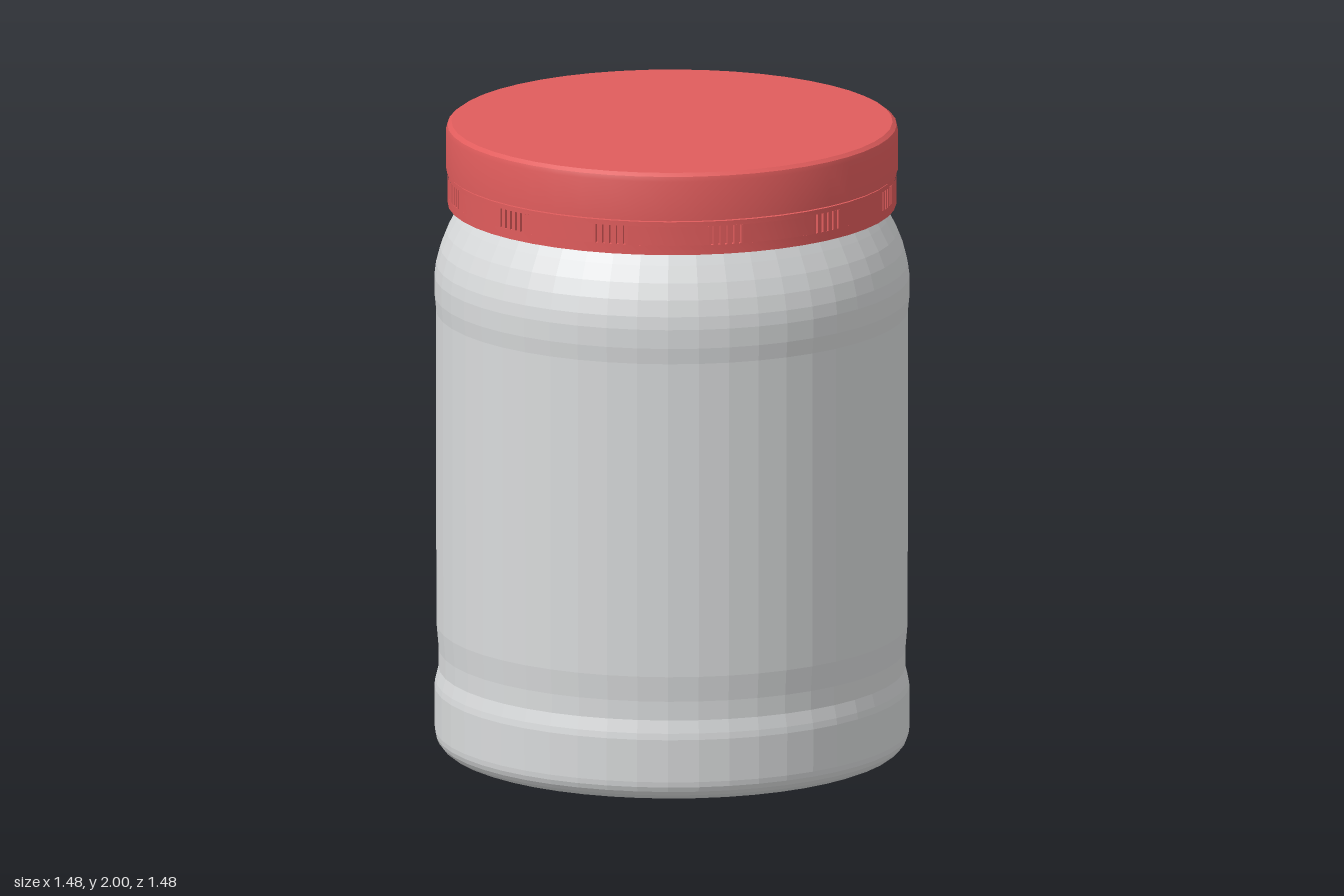
import * as THREE from 'three';
import { toCreasedNormals } from 'three/addons/utils/BufferGeometryUtils.js';

const SEGMENTS = 48;
const jarGrey = new THREE.MeshStandardMaterial({ color: 0xd9dbdc, flatShading: true });
jarGrey.name = 'jarGrey';
const lidRed = new THREE.MeshStandardMaterial({ color: 0xe05c5c });
lidRed.name = 'lidRed';

// Revolves a list of [radius, height] pairs, optionally over part of a turn
function revolve(name, profile, material, start = 0, length = Math.PI * 2, segments = SEGMENTS) {
  const points = profile.map(([r, y]) => new THREE.Vector2(r, y));
  const lathe = new THREE.LatheGeometry(points, segments, start, length);
  const mesh = new THREE.Mesh(toCreasedNormals(lathe, 0.45), material);
  mesh.name = name;
  return mesh;
}

export function createModel() {
  const model = new THREE.Group();
  model.name = 'jar';

  // Body: rounded foot, shallow waist groove, straight wall, shoulder and neck
  const foot = [[0, 0]];
  for (let i = 0; i <= 6; i++) {
    const a = (i / 6) * Math.PI / 2;
    foot.push([0.672 + 0.065 * Math.sin(a), 0.065 - 0.065 * Math.cos(a)]);
  }
  model.add(revolve('body', [
    ...foot,
    [0.738, 0.2], [0.735, 0.22], [0.725, 0.26], [0.725, 0.32], [0.732, 0.4],
    [0.733, 1.4], [0.738, 1.45], [0.738, 1.51], [0.733, 1.55], [0.72, 1.6],
    [0.7, 1.65], [0.674, 1.7], [0.652, 1.74], [0.64, 1.77], [0.64, 1.96], [0, 1.96],
  ], jarGrey));

  // Lid cap with a bevelled top edge
  const lid = new THREE.Group();
  lid.name = 'lid';
  lid.add(revolve('cap', [
    [0.65, 1.85], [0.702, 1.85], [0.702, 1.975], [0.698, 1.99], [0.685, 2], [0, 2],
  ], lidRed));

  // Tamper band: recessed core between two solid rings
  lid.add(revolve('bandCore', [[0.683, 1.76], [0.683, 1.85]], lidRed));
  lid.add(revolve('bandLowerRing', [
    [0.66, 1.8], [0.66, 1.74], [0.697, 1.74], [0.697, 1.77], [0.68, 1.77],
  ], lidRed));
  lid.add(revolve('bandUpperRing', [
    [0.68, 1.83], [0.697, 1.83], [0.697, 1.845], [0.68, 1.845],
  ], lidRed));

  // Twelve windows in the band, each crossed by thin vertical ribs
  const step = Math.PI / 6;
  const halfWindow = 0.08;
  const ribGeometry = new THREE.BoxGeometry(0.014, 0.06, 0.014);
  for (let i = 0; i < 12; i++) {
    const angle = i * step;
    lid.add(revolve('bandWall', [[0.697, 1.77], [0.697, 1.83]], lidRed,
      angle + halfWindow, step - 2 * halfWindow, 4));
    for (let k = 0; k < 6; k++) {
      const a = angle + halfWindow * (k / 2.5 - 1);
      const rib = new THREE.Mesh(ribGeometry, lidRed);
      rib.name = 'rib';
      rib.position.set(0.689 * Math.sin(a), 1.8, 0.689 * Math.cos(a));
      rib.rotation.y = a;
      lid.add(rib);
    }
  }
  model.add(lid);
  return model;
}
